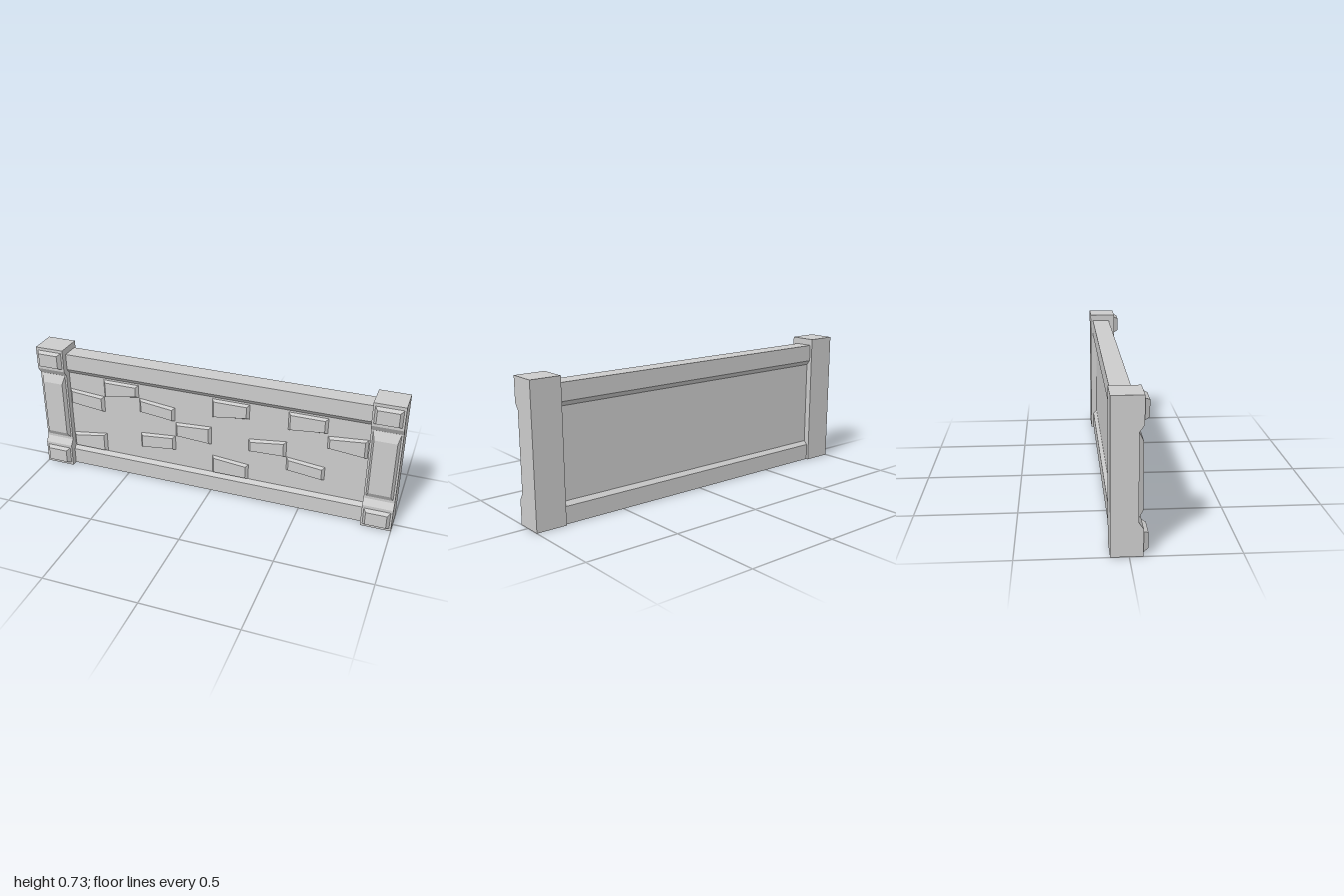
import * as THREE from 'three';

const material = new THREE.MeshStandardMaterial({ color: 0xcccccc, flatShading: true });

function addMesh(parent, name, geometry) {
  const mesh = new THREE.Mesh(geometry, material);
  mesh.name = name;
  parent.add(mesh);
  return mesh;
}

// Sweeps a [z, y] profile along x from x0 to x1
function sweepX(profile, x0, x1) {
  const shape = new THREE.Shape(profile.map(([z, y]) => new THREE.Vector2(z, y)));
  return new THREE.ExtrudeGeometry(shape, { depth: x1 - x0, bevelEnabled: false })
    .rotateY(-Math.PI / 2)
    .translate(x1, 0, 0);
}

// Raised block: four [x, y] corners (counter-clockwise from bottom left),
// narrowing from z0 to z1 by the given insets
function raisedBlock(corners, z0, z1, side, bottom, top) {
  const insets = [[side, bottom], [-side, bottom], [-side, -top], [side, -top]];
  const points = [
    ...corners.map(([x, y]) => [x, y, z0]),
    ...corners.map(([x, y], i) => [x + insets[i][0], y + insets[i][1], z1]),
  ];
  const index = [4, 5, 6, 4, 6, 7, 0, 2, 1, 0, 3, 2];
  for (let i = 0; i < 4; i++) {
    const j = (i + 1) % 4;
    index.push(i, j, j + 4, i, j + 4, i + 4);
  }
  const geometry = new THREE.BufferGeometry();
  geometry.setAttribute('position', new THREE.Float32BufferAttribute(points.flat(), 3));
  geometry.setIndex(index);
  const flat = geometry.toNonIndexed();
  flat.computeVertexNormals();
  return flat;
}

function rect(x0, x1, y0, y1) {
  return [[x0, y0], [x1, y0], [x1, y1], [x0, y1]];
}

// End post with notched front, long raised panel and two square pads
function createPost(sign) {
  const post = new THREE.Group();
  post.name = sign > 0 ? 'leftPost' : 'rightPost';
  addMesh(post, 'postBody', sweepX([
    [-0.083, 0], [0.062, 0], [0.062, 0.128], [0.04, 0.16],
    [0.04, 0.565], [0.062, 0.598], [0.062, 0.725], [-0.083, 0.725],
  ], -0.08, 0.08));
  addMesh(post, 'postPanel',
    raisedBlock(rect(-0.07, 0.07, 0.172, 0.565), 0.039, 0.061, 0.012, 0.034, 0.047));
  for (const y of [0.015, 0.612]) {
    addMesh(post, 'postPad',
      raisedBlock(rect(-0.07, 0.07, y, y + 0.097), 0.061, 0.085, 0.015, 0.012, 0.011));
  }
  post.position.x = sign * 0.92;
  return post;
}

export function createModel() {
  const model = new THREE.Group();
  model.name = 'barrierWall';

  // Wall slab, recessed on both faces between the bottom and top rails
  addMesh(model, 'wall', sweepX([
    [-0.07, 0], [0.028, 0], [0.028, 0.09], [0.008, 0.11],
    [0.008, 0.575], [0.028, 0.6], [0.028, 0.69], [-0.07, 0.69],
    [-0.07, 0.6], [-0.05, 0.575], [-0.05, 0.11], [-0.07, 0.09],
  ], -0.845, 0.845));

  // Uneven bricks: left x, bottom y (left, right), top y (left, right)
  const bricks = [
    [-0.84, 0.385, 0.365, 0.475, 0.46],
    [-0.63, 0.46, 0.492, 0.565, 0.565],
    [-0.42, 0.405, 0.385, 0.49, 0.468],
    [-0.21, 0.295, 0.285, 0.38, 0.392],
    [-0.42, 0.185, 0.205, 0.275, 0.293],
    [-0.84, 0.11, 0.11, 0.195, 0.225],
    [0, 0.11, 0.11, 0.218, 0.2],
    [0, 0.455, 0.48, 0.565, 0.565],
    [0.205, 0.288, 0.294, 0.362, 0.387],
    [0.415, 0.46, 0.478, 0.565, 0.565],
    [0.415, 0.215, 0.195, 0.295, 0.275],
    [0.625, 0.392, 0.375, 0.465, 0.483],
  ];
  const bricksGroup = new THREE.Group();
  bricksGroup.name = 'bricks';
  for (const [x, bl, br, tl, tr] of bricks) {
    const corners = [[x, bl], [x + 0.208, br], [x + 0.208, tr], [x, tl]];
    addMesh(bricksGroup, 'brick', raisedBlock(corners, 0.007, 0.025, 0.014, 0.01, 0.01));
  }
  model.add(bricksGroup);

  model.add(createPost(1), createPost(-1));
  return model;
}
